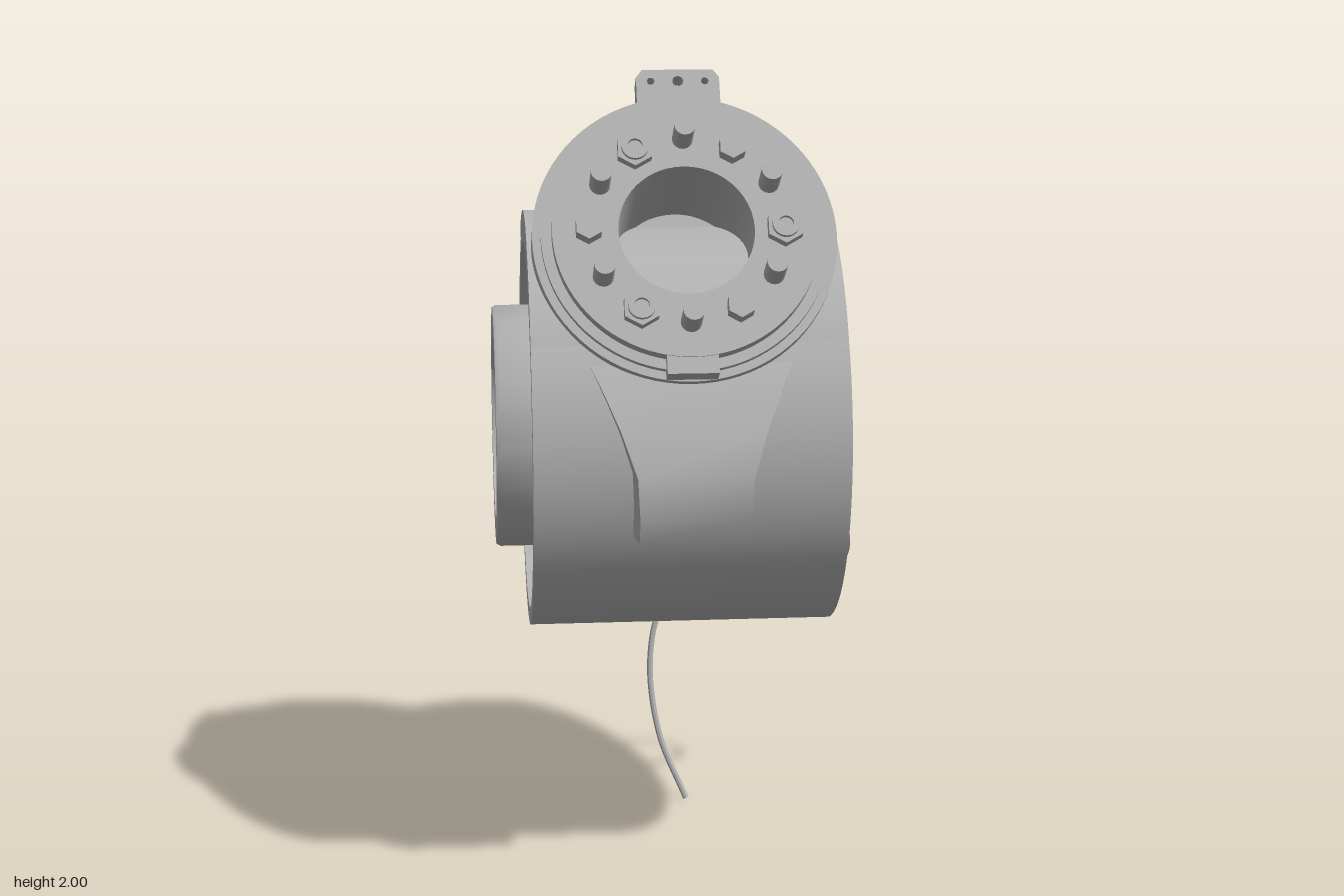
import * as THREE from 'three';
import { toCreasedNormals } from 'three/addons/utils/BufferGeometryUtils.js';

const grey = new THREE.MeshStandardMaterial({ color: 0xb2b2b2 });
grey.name = 'metal grey';
const CX = -0.0175, CY = 1.115, CZ = -0.035; // drum centre
const rad = THREE.MathUtils.degToRad;
const clamp = THREE.MathUtils.clamp;

function add(parent, name, geo, x = 0, y = 0, z = 0) {
  const m = new THREE.Mesh(toCreasedNormals(geo, 0.5), grey);
  m.name = name;
  m.position.set(x, y, z);
  parent.add(m);
  return m;
}

// Solid through a row of equal-sized rings, counter-clockwise about the sweep
function loft(rings) {
  const pos = [], n = rings[0].length;
  const tri = (...ps) => ps.forEach(p => pos.push(...p));
  for (let i = 0; i < rings.length - 1; i++) {
    for (let j = 0; j < n; j++) {
      const k = (j + 1) % n, A = rings[i], B = rings[i + 1];
      tri(A[j], A[k], B[k]);
      tri(A[j], B[k], B[j]);
    }
  }
  const S = rings[0], E = rings[rings.length - 1];
  for (let j = 1; j < n - 1; j++) {
    tri(S[0], S[j + 1], S[j]);
    tri(E[0], E[j], E[j + 1]);
  }
  const g = new THREE.BufferGeometry();
  g.setAttribute('position', new THREE.Float32BufferAttribute(pos, 3));
  return g;
}

// Curved plate around the drum axis; R, xa and xb give outer radius and side edges per angle
function shell(r, R, xa, xb, a0, a1, n) {
  const rings = [];
  for (let i = 0; i <= n; i++) {
    const d = a0 + (a1 - a0) * i / n, c = Math.cos(rad(d)), s = Math.sin(rad(d));
    const p = (x, q) => [x, CY + q * s, CZ + q * c];
    rings.push([p(xa(d), r), p(xa(d), R(d)), p(xb(d), R(d)), p(xb(d), r)]);
  }
  return loft(rings);
}

function circle(r, sides, edit = p => p) {
  const pts = [];
  for (let i = 0; i < sides; i++) {
    const a = i / sides * Math.PI * 2;
    pts.push(edit(new THREE.Vector2(r * Math.cos(a), r * Math.sin(a))));
  }
  return pts;
}

function plate(outline, hole, depth) {
  const s = new THREE.Shape(outline);
  if (hole) s.holes.push(new THREE.Path(hole));
  return new THREE.ExtrudeGeometry(s, { depth, bevelEnabled: false });
}
const disc = (R, hole, depth, sides = 80, holeSides = 48) =>
  plate(circle(R, sides), circle(hole, holeSides), depth);

const rodX = (r, l, sides) => new THREE.CylinderGeometry(r, r, l, sides).rotateZ(-Math.PI / 2);
const rodZ = (r, l, sides) => new THREE.CylinderGeometry(r, r, l, sides).rotateX(Math.PI / 2);

function buildDrum(g) {
  // Inner drum, boss, recesses and end plates as one turned profile (radius, x)
  const profile = [[0, -0.1], [0.23, -0.1], [0.23, -0.47], [0.295, -0.47], [0.3, -0.46], [0.3, -0.31],
    [0.455, -0.31], [0.455, -0.39], [0.497, -0.39], [0.497, -0.385], [0.465, -0.385], [0.465, 0.35],
    [0.497, 0.35], [0.497, 0.355], [0.482, 0.355], [0.482, 0.332], [0.36, 0.332], [0.36, 0.3],
    [0.3, 0.3], [0.3, 0.325], [0.155, 0.325], [0.155, 0.295], [0.075, 0.295], [0.075, 0.315], [0, 0.315]];
  const turned = new THREE.LatheGeometry(profile.map(p => new THREE.Vector2(...p)), 72);
  add(g, 'drumCore', turned.rotateZ(-Math.PI / 2), 0, CY, CZ);

  // Outer shell with a rounded window at the back
  const L = () => -0.39, R = () => 0.355, outer = () => 0.497;
  const half = d => {
    const t = Math.min(1, Math.abs(d - 180) / (d < 180 ? 72 : 38));
    return 0.28 * Math.sqrt(1 - t ** 3);
  };
  add(g, 'drumShell', shell(0.46, outer, L, R, 218, 468, 62));
  add(g, 'shellLeft', shell(0.46, outer, d => CX + half(d), R, 108, 218, 60));
  add(g, 'shellRight', shell(0.46, outer, L, d => CX - half(d), 108, 218, 60));
  for (const s of [-1, 1]) for (const d of [150, 176, 200]) {
    const b = add(g, 'windowScrew', new THREE.CylinderGeometry(0.02, 0.02, 0.012, 12),
      CX + s * (half(d) - 0.02), CY + 0.464 * Math.sin(rad(d)), CZ + 0.464 * Math.cos(rad(d)));
    b.rotation.x = rad(90 - d);
  }

  // Fairing between drum and neck, rising smoothly from the front
  const rise = d => 0.494 + 0.04 * clamp((d - 30) / 45, 0, 1);
  add(g, 'fairingLeft', shell(0.46, rise, () => 0.17, R, 30, 119, 30));
  add(g, 'fairingRight', shell(0.46, rise, L, () => -0.205, 30, 119, 30));
  add(g, 'fairingBack', shell(0.46, rise, () => -0.206, () => 0.171, 100, 119, 8));

  // Front pad under the flange: [y, front z, half width]
  const pad = [[0.94, 0.505, 0.13], [1.0, 0.53, 0.13], [1.1, 0.533, 0.135], [1.2, 0.49, 0.17],
    [1.28, 0.452, 0.205], [1.35, 0.402, 0.24]];
  add(g, 'frontPad', loft(pad.map(([y, z, w]) => [[-w - 0.025, y, 0.3], [-w, y, z],
    [w, y, z], [w + 0.025, y, 0.3]].map(p => [p[0] + CX, p[1], p[2]]))));

  // Bolts, nuts and pins on the left end
  const ring = (r, d) => [CY + r * Math.sin(rad(d)), CZ + r * Math.cos(rad(d))];
  for (const d of [0, 30, 60, 90, 120, 150, 180, 210, 240, 270, 300, 330, 256, 284])
    add(g, 'rimBolt', rodX(0.026, 0.03, 8), 0.344, ...ring(0.42, d));
  for (let i = 0; i < 6; i++) {
    const nut = disc(0.042, 0.02, 0.012, 6, 16).rotateY(Math.PI / 2);
    add(g, 'hubNut', nut, 0.324, ...ring(0.22, i * 60));
    add(g, 'hubPin', rodX(0.02, 0.012, 12), 0.326, ...ring(0.23, i * 60 + 30));
  }
  // Blocks in the right end recess and the six-sided boss opening
  for (let i = 0; i < 12; i++) {
    const b = add(g, 'recessBlock', new THREE.BoxGeometry(0.04, 0.045, 0.05), -0.32, ...ring(0.425, i * 30 + 15));
    b.rotation.x = -rad(i * 30 + 15);
  }
  add(g, 'bossOpening', disc(0.232, 0.22, 0.04, 48, 6).rotateY(Math.PI / 2), -0.4, CY, CZ);
  add(g, 'bossBar', new THREE.BoxGeometry(0.03, 0.03, 0.45), -0.25, CY, CZ);
}

function buildNeck(g) {
  // Local z points out of the flange, tilted 30 degrees up
  const n = new THREE.Group();
  n.name = 'neck';
  n.position.set(-0.02, 1.645, 0.31);
  n.rotation.x = -Math.PI / 6;
  g.add(n);

  // Slice of the neck, cut down on top but left standing around the bore, and kept
  // inside the drum below its surface; the bore runs only through the front slices
  function slice(name, z, depth, cut = 0.36) {
    const low = -0.284 + Math.sqrt(Math.max(0, 0.455 ** 2 - (z + 0.568) ** 2));
    const bored = z > -0.3;
    const outline = circle(0.36, 128, p => {
      if (p.y < low) {
        p.x = clamp(p.x, -0.27, 0.29);
        if (!bored) p.y = low;
      }
      p.y = Math.min(p.y, Math.max(cut, Math.min(0.19, 0.34 - 0.8 * Math.abs(p.x))));
      return p;
    });
    add(n, name, plate(outline, bored && circle(0.16, 48), depth), 0, 0, z);
  }

  // Cooling fins with slots between them
  let z = -0.525;
  for (let i = 0; i < 5; i++) {
    const slot = -0.452 + i * 0.082;
    slice('fin', z, slot - z);
    slice('slotFloor', slot, 0.032, 0.265 - i * 0.043);
    z = slot + 0.032;
  }
  add(n, 'flangeRing', disc(0.36, 0.16, -0.045 - z), 0, 0, z);
  add(n, 'flangeStep', disc(0.34, 0.16, 0.015), 0, 0, -0.045);
  add(n, 'flangePlate', disc(0.315, 0.16, 0.03), 0, 0, -0.03);
  add(n, 'lowerTab', new THREE.BoxGeometry(0.12, 0.07, 0.045), 0, -0.32, -0.025);

  // Upper tab with three holes
  const tab = new THREE.Shape([[-0.1, 0.3], [0.1, 0.3], [0.1, 0.41], [0.085, 0.43], [-0.085, 0.43],
    [-0.1, 0.41]].map(p => new THREE.Vector2(...p)));
  for (const x of [-0.065, 0, 0.065]) {
    const h = new THREE.Path();
    h.absarc(x, 0.4, x ? 0.009 : 0.013, 0, Math.PI * 2, true);
    tab.holes.push(h);
  }
  add(n, 'upperTab', new THREE.ExtrudeGeometry(tab, { depth: 0.05, bevelEnabled: false }), 0, 0, -0.09);

  // Alternating pins and nuts on the flange
  for (let i = 0; i < 6; i++) {
    const a = rad(i * 60), b = rad(i * 60 + 30);
    add(n, 'flangePin', rodZ(0.025, 0.1, 16), 0.23 * Math.cos(b), 0.23 * Math.sin(b), 0.03);
    const x = 0.23 * Math.cos(a), y = 0.23 * Math.sin(a);
    if (i % 2) add(n, 'flangeBolt', rodZ(0.034, 0.035, 6), x, y, 0.017);
    else {
      add(n, 'flangeNut', rodZ(0.046, 0.025, 6), x, y, 0.012);
      add(n, 'nutCollar', disc(0.032, 0.018, 0.01, 24, 16), x, y, 0.0245);
    }
  }
}

function buildCable(g) {
  const pts = [[0.31, 1.15, 0.02], [0.36, 1.0, -0.01], [0.41, 0.87, -0.1], [0.457, 0.74, -0.24],
    [0.45, 0.66, -0.36], [0.37, 0.63, -0.465], [0.2, 0.622, -0.48], [0.06, 0.59, -0.45],
    [-0.02, 0.52, -0.43], [-0.052, 0.38, -0.41], [-0.03, 0.18, -0.38], [0.04, 0.003, -0.355]];
  const path = new THREE.CatmullRomCurve3(pts.map(p => new THREE.Vector3(...p)));
  add(g, 'cable', new THREE.TubeGeometry(path, 90, 0.008, 8));
}

export function createModel() {
  const g = new THREE.Group();
  g.name = 'actuatorJoint';
  buildDrum(g);
  buildNeck(g);
  buildCable(g);
  return g;
}
